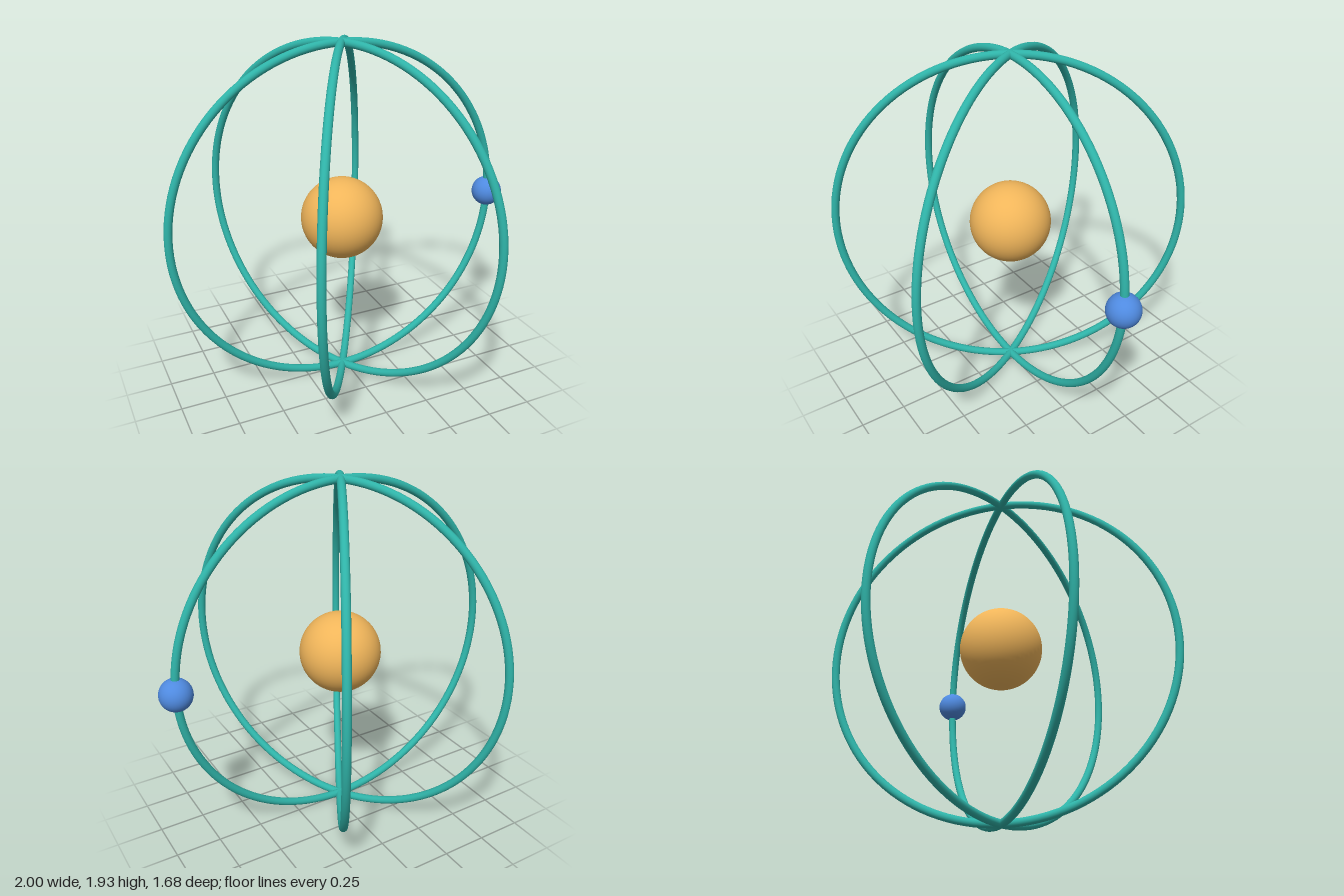
import * as THREE from 'three';

const SCALE = 0.43;
const ORBIT = 2.2 * SCALE, TUBE = 0.05 * SCALE;
const CORE = 0.52 * SCALE, SATELLITE = 0.2 * SCALE;

export function createModel() {
  const group = new THREE.Group();
  const add = (name, geometry, color) => {
    const mesh = new THREE.Mesh(geometry, new THREE.MeshStandardMaterial({ color }));
    mesh.name = name;
    group.add(mesh);
    return mesh;
  };

  // central ball
  add('nucleus', new THREE.SphereGeometry(CORE, 48, 32), 0xf0b55a);

  // three upright rings sharing one vertical axis, 60 degrees apart
  const ring = new THREE.TorusGeometry(ORBIT, TUBE, 16, 128);
  for (let i = 0; i < 3; i++) {
    add(`orbitRing${i + 1}`, ring, 0x2fb3a8).rotation.y = (i * Math.PI) / 3;
  }

  // small ball riding on the front-facing ring
  add('electron', new THREE.SphereGeometry(SATELLITE, 32, 24), 0x4f8ae0).position.x = ORBIT;

  // stand on the ground, centred including the small ball
  group.position.set((TUBE - SATELLITE) / 2, ORBIT + TUBE, 0);
  const model = new THREE.Group();
  model.name = 'atom';
  model.add(group);
  return model;
}
